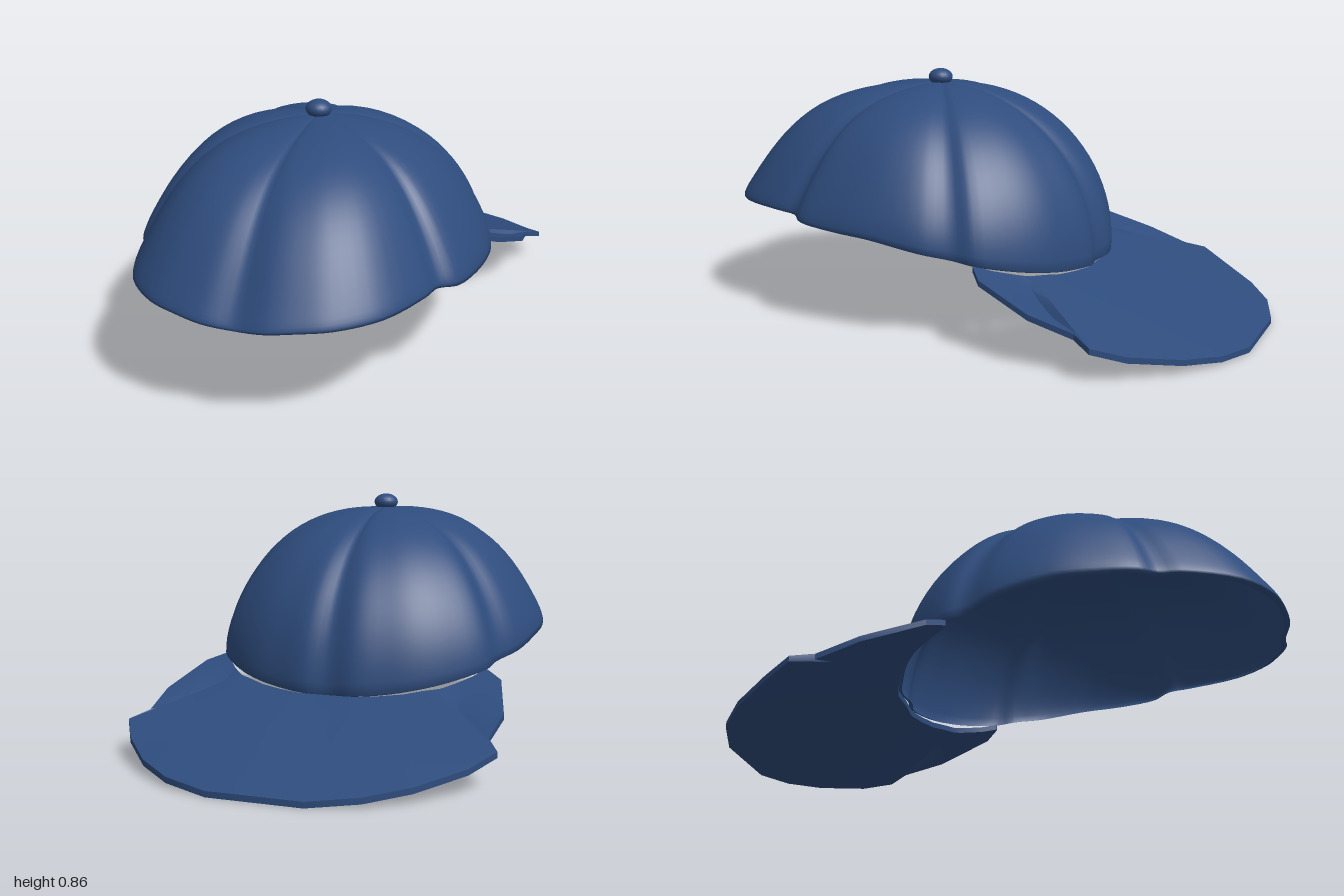
import * as THREE from 'three';
import { toCreasedNormals } from 'three/addons/utils/BufferGeometryUtils.js';

const V = (x, y, z) => new THREE.Vector3(x, y, z);

// Skin a grid of rows; wrapRows / wrapCols join the last to the first.
function skin(rows, wrapRows, wrapCols) {
  const n = rows.length, m = rows[0].length, index = [];
  for (let i = 0; i < (wrapRows ? n : n - 1); i++) {
    for (let j = 0; j < (wrapCols ? m : m - 1); j++) {
      const i2 = (i + 1) % n, j2 = (j + 1) % m;
      const a = i * m + j, b = i * m + j2, c = i2 * m + j2, d = i2 * m + j;
      index.push(a, b, c, a, c, d);
    }
  }
  const g = new THREE.BufferGeometry().setFromPoints(rows.flat());
  g.setIndex(index);
  g.computeVertexNormals();
  return g;
}

// Rim of the crown, half outline from front to back
const RIM = [
  [0, .36, .98], [.1, .37, .99], [.2, .38, .97], [.3, .385, .93], [.42, .39, .82], [.5, .39, .63],
  [.515, .385, .55], [.565, .375, .49], [.595, .365, .35], [.6, .355, .2], [.57, .32, .02],
  [.515, .295, -.08], [.5, .28, -.16], [.4, .25, -.27], [.3, .23, -.34], [.2, .215, -.38],
  [.09, .207, -.41], [0, .2, -.395],
];
const APEX = V(0, .815, .23);

// Domed crown: six puffed panels between seams, with a small turned-in hem
function crownGeometry() {
  const half = RIM.map(p => V(...p));
  const mirrored = half.slice(1, -1).reverse().map(p => V(-p.x, p.y, p.z));
  const rim = new THREE.CatmullRomCurve3([...half, ...mirrored], true, 'centripetal');
  const around = 136, down = 24, rows = [];
  for (let i = 0; i < around; i++) {
    const p = rim.getPoint(i / around);
    const dx = p.x - APEX.x, dz = p.z - APEX.z;
    const phi = Math.atan2(dx, dz), facing = Math.cos(phi);
    const flatten = facing > 0 ? .45 + .3 * facing : .45 * (1 + facing);
    const puff = Math.sqrt(Math.abs(Math.sin(3 * phi)));
    const row = [];
    for (let j = 0; j <= down; j++) {
      const a = Math.max(j / down, .005) * Math.PI / 2;
      const r = Math.sin(a), h = Math.cos(a) * (1 - flatten * r ** 6);
      const y = p.y + (APEX.y - p.y) * h + .022 * (puff - .4) * Math.sin(2 * a);
      row.push(V(dx * r, y, APEX.z + dz * r));
    }
    row.push(V(dx * .975, p.y - .006, APEX.z + dz * .975));
    rows.push(row);
  }
  return skin(rows, true, false);
}

// Brim ribs, half: inner point, outer point, sag of the fold
const RIBS = [
  [[0, .182, -.4], [0, .002, -1], 0],
  [[.1, .184, -.405], [.16, .002, -1], 0],
  [[.18, .188, -.385], [.32, .016, -.95], 0],
  [[.26, .195, -.36], [.45, .034, -.86], 0],
  [[.32, .205, -.33], [.58, .064, -.72], 0],
  [[.37, .21, -.3], [.645, .098, -.62], 0],
  [[.39, .215, -.28], [.6, .12, -.55], .025],
  [[.42, .225, -.25], [.615, .165, -.4], 0],
  [[.46, .24, -.2], [.56, .235, -.2], 0],
  [[.49, .258, -.15], [.5, .258, -.15], 0],
];

// Sloping brim: closed thin plate swept from rib to rib
function brimGeometry() {
  const steps = 6, thick = .02;
  const rib = ([inner, outer, sag], s) => {
    const a = V(...inner), b = V(...outer), under = [];
    for (let k = 0; k <= steps; k++) {
      const t = k / steps, p = a.clone().lerp(b, t);
      p.y -= sag * Math.sin(Math.PI * t);
      p.x *= s;
      under.push(p);
    }
    const upper = under.map(p => V(p.x, p.y + thick, p.z));
    return [...upper, ...under.reverse()];
  };
  const left = RIBS.map(r => rib(r, 1));
  const right = RIBS.slice(1).map(r => rib(r, -1)).reverse();
  // Runs from the left side round the back to the right side
  const g = skin([...left.reverse(), ...right.reverse()], false, true);
  return toCreasedNormals(g, .6);
}

export function createModel() {
  const navy = new THREE.MeshStandardMaterial({ color: 0x2e4c7d, side: THREE.DoubleSide });
  navy.name = 'navy cloth';
  const group = new THREE.Group();
  group.name = 'cap';
  const add = (name, geometry) => {
    const mesh = new THREE.Mesh(geometry, navy);
    mesh.name = name;
    group.add(mesh);
    return mesh;
  };

  add('crown', crownGeometry());
  add('brim', brimGeometry());

  // Covered button on top
  const button = add('topButton', new THREE.SphereGeometry(.045, 20, 14));
  button.scale.y = .7;
  button.position.set(0, .834, .235);

  return group;
}
